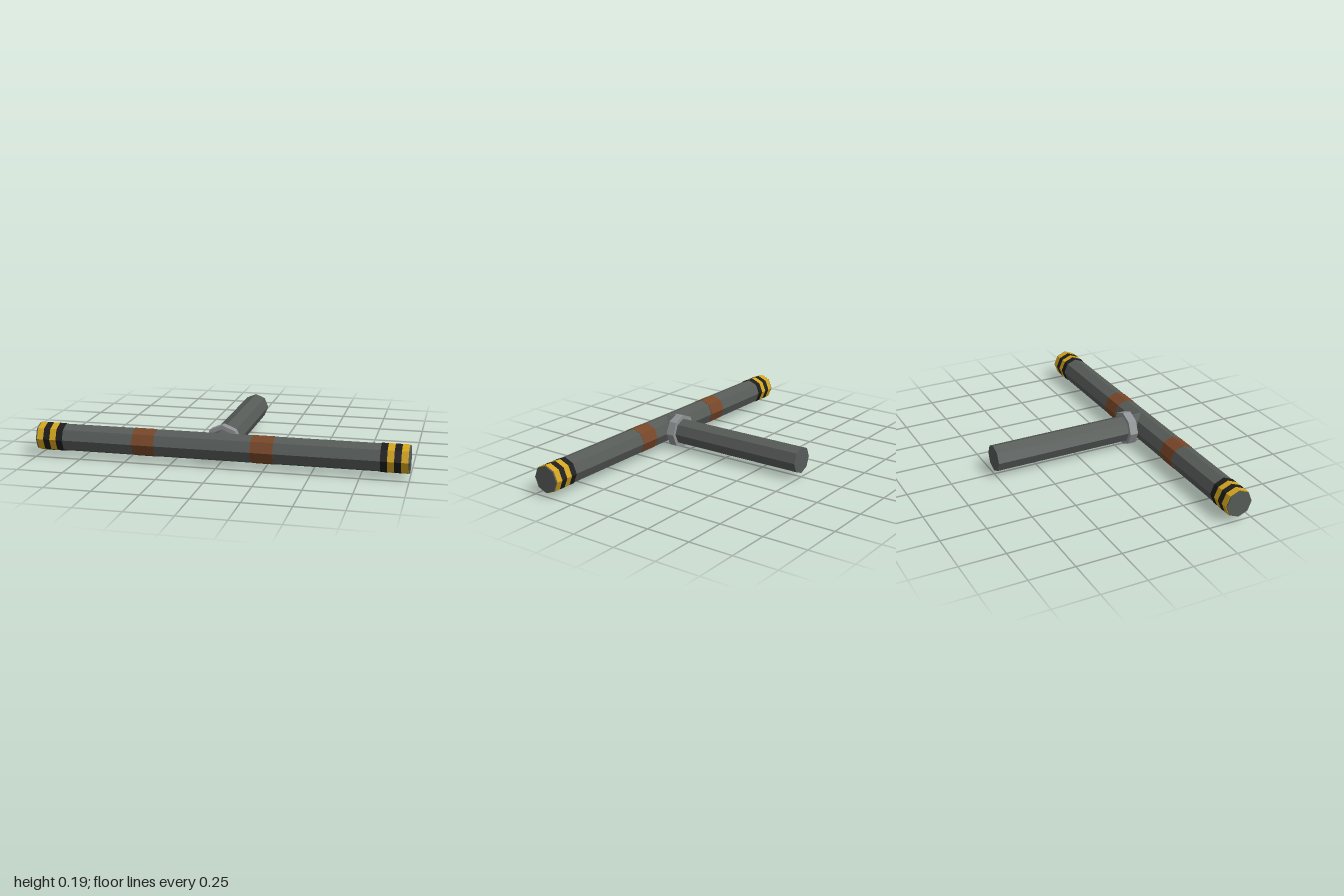
import * as THREE from 'three';

const SIDES = 8;
const AXIS_Y = 0.097; // height of both pipe axes
const MAIN_Z = 0.422; // depth of the crosswise pipe

function material(name, color) {
  const m = new THREE.MeshStandardMaterial({ color, flatShading: true });
  m.name = name;
  return m;
}

export function createModel() {
  const model = new THREE.Group();
  model.name = 'pipeJunction';

  const steel = material('dark steel', 0x565b58);
  const flangeGrey = material('flange grey', 0x8f9294);
  const yellow = material('warning yellow', 0xd4a51c);
  const black = material('warning black', 0x1c1c1c);
  const rust = material('rust', 0x774628);

  // Octagonal cylinder along x, from x0 to x1, on the main pipe's axis
  function alongX(name, radius, x0, x1, mat) {
    const geometry = new THREE.CylinderGeometry(radius, radius, Math.abs(x1 - x0), SIDES);
    geometry.rotateZ(Math.PI / 2);
    const mesh = new THREE.Mesh(geometry, mat);
    mesh.name = name;
    mesh.position.set((x0 + x1) / 2, AXIS_Y, MAIN_Z);
    model.add(mesh);
  }

  // Octagonal cylinder along z, from z0 to z1, on the branch's axis
  function alongZ(name, radius, z0, z1, mat) {
    const geometry = new THREE.CylinderGeometry(radius, radius, Math.abs(z1 - z0), SIDES);
    geometry.rotateX(Math.PI / 2);
    const mesh = new THREE.Mesh(geometry, mat);
    mesh.name = name;
    mesh.position.set(0, AXIS_Y, (z0 + z1) / 2);
    model.add(mesh);
  }

  // Pipes and the collar where they join
  alongX('mainPipe', 0.075, -1, 1, steel);
  alongZ('branchPipe', 0.075, -0.5, MAIN_Z, steel);
  alongZ('flange', 0.097, 0.3, 0.348, flangeGrey);

  // Striped warning bands at both ends, yellow outermost
  for (const side of [-1, 1]) {
    for (let i = 0; i < 4; i++) {
      const outer = 0.993 - i * 0.0355;
      alongX(i % 2 ? 'blackBand' : 'yellowBand', 0.078,
        side * outer, side * (outer - 0.0355), i % 2 ? black : yellow);
    }
  }

  // Rust patches wrapped around the main pipe
  for (const x of [-0.4, 0.24]) {
    alongX('rustPatch', 0.0765, x - 0.06, x + 0.06, rust);
  }

  return model;
}
